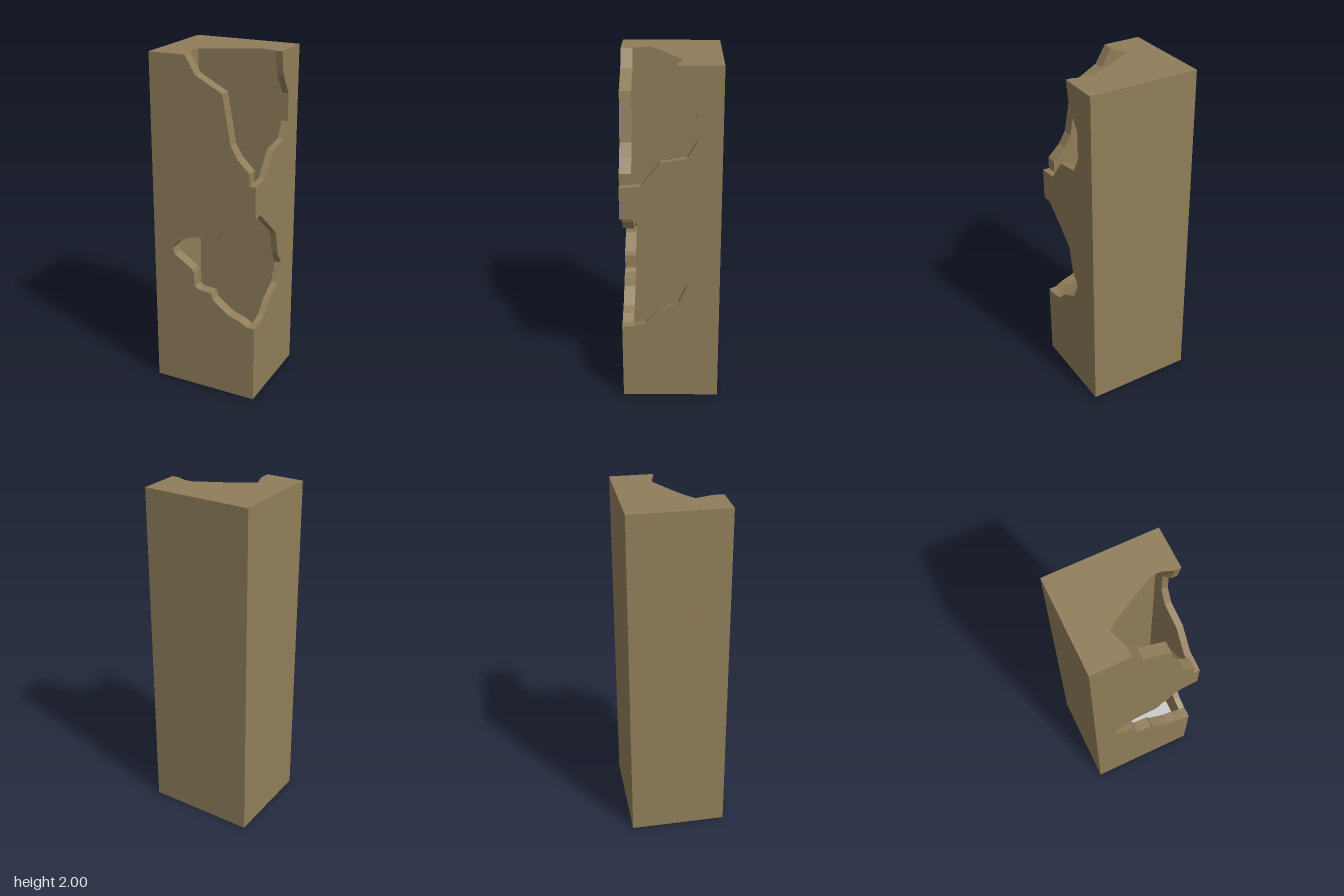
import * as THREE from 'three';

const W = 0.32, D = 0.28, H = 2;

const brown = new THREE.MeshStandardMaterial({ color: 0x907e5a, side: THREE.DoubleSide });
brown.name = 'plaster brown';
const grey = new THREE.MeshStandardMaterial({ color: 0xcacaca, side: THREE.DoubleSide });
grey.name = 'base grey';

// Flat panel from an outline in its own plane
function panel(name, outline, material = brown) {
  const shape = new THREE.Shape(outline.map(([x, y]) => new THREE.Vector2(x, y)));
  const mesh = new THREE.Mesh(new THREE.ShapeGeometry(shape), material);
  mesh.name = name;
  return mesh;
}

// Broken edge: a strip swept straight inwards along a path
function rim(name, path, depth) {
  const pos = [];
  for (let i = 0; i < path.length - 1; i++) {
    const [ax, ay] = path[i], [bx, by] = path[i + 1];
    pos.push(ax, ay, 0, bx, by, 0, ax, ay, -depth);
    pos.push(bx, by, 0, bx, by, -depth, ax, ay, -depth);
  }
  const geo = new THREE.BufferGeometry();
  geo.setAttribute('position', new THREE.Float32BufferAttribute(pos, 3));
  geo.computeVertexNormals();
  const mesh = new THREE.Mesh(geo, brown);
  mesh.name = name;
  return mesh;
}

const rect = (w, y0, y1) => [[-w, y0], [w, y0], [w, y1], [-w, y1]];

export function createModel() {
  const model = new THREE.Group();
  model.name = 'brokenPillar';

  // Front wall, broken away along its +x edge (paths run downwards)
  const frontUpper = [[-0.1, H], [-0.04, 1.9], [0.12, 1.815], [0.15, 1.65], [0.17, 1.54],
    [0.21, 1.47], [0.282, 1.4], [0.282, 1.33], [W, 1.33]];
  const frontLower = [[W, 1.147], [0.28, 1.147], [0.22, 1.135], [0.175, 1.11], [0.155, 1.09],
    [0.14, 1.05], [0.105, 1.03], [0.085, 0.995], [0.065, 0.98], [-0.06, 0.97], [-0.165, 0.93],
    [-0.2, 0.875], [-0.19, 0.84], [-0.075, 0.765], [-0.065, 0.74], [-0.06, 0.66],
    [-0.035, 0.645], [0.045, 0.637], [0.06, 0.595], [0.16, 0.52], [0.225, 0.5],
    [0.275, 0.472], [W, 0.47]];
  const front = new THREE.Group();
  front.name = 'frontWall';
  front.add(
    panel('frontPanel', [[-W, 0], [-W, H], ...frontUpper, ...frontLower, [W, 0]]),
    rim('frontUpperRim', frontUpper, 0.067),
    rim('frontLowerRim', frontLower, 0.067));
  front.position.z = D;

  // Side wall on +x, drawn with its front edge at -D (paths run upwards)
  const sideLower = [[-D, 0.47], [-0.213, 0.472], [-0.145, 0.49], [-0.075, 0.56], [0.045, 0.625],
    [0.095, 0.735], [0.04, 0.815], [0.008, 0.96], [-0.213, 1.147], [-D, 1.147]];
  const sideUpper = [[-D, 1.33], [-0.16, 1.342], [-0.055, 1.475], [0.09, 1.5], [0.14, 1.59],
    [0.14, 1.75], [0.06, 1.87], [0.035, H]];
  const side = new THREE.Group();
  side.name = 'leftWall';
  side.add(
    panel('leftPanel', [[-D, 0], ...sideLower, ...sideUpper, [D, H], [D, 0]]),
    rim('leftLowerRim', sideLower, 0.038),
    rim('leftUpperRim', sideUpper, 0.038));
  side.rotation.y = Math.PI / 2;
  side.position.x = W;

  // Top with its front corner missing
  const top = panel('top', [[-W, -D], [-0.1, -D], [-0.1, -0.213], [-0.135, -0.115],
    [-0.065, -0.068], [0.01, -0.025], [0.18, 0.06], [0.225, 0.057], [0.282, 0.035],
    [W, 0.035], [W, D], [-W, D]]);
  top.rotation.x = -Math.PI / 2;
  top.position.y = H;

  // Plain walls and base
  const back = panel('backWall', rect(W, 0, H));
  back.rotation.y = Math.PI;
  back.position.z = -D;
  const right = panel('rightWall', rect(D, 0, H));
  right.rotation.y = -Math.PI / 2;
  right.position.x = -W;
  const base = panel('base', rect(W, -D, D), grey);
  base.rotation.x = Math.PI / 2;

  model.add(front, side, top, back, right, base);
  return model;
}
